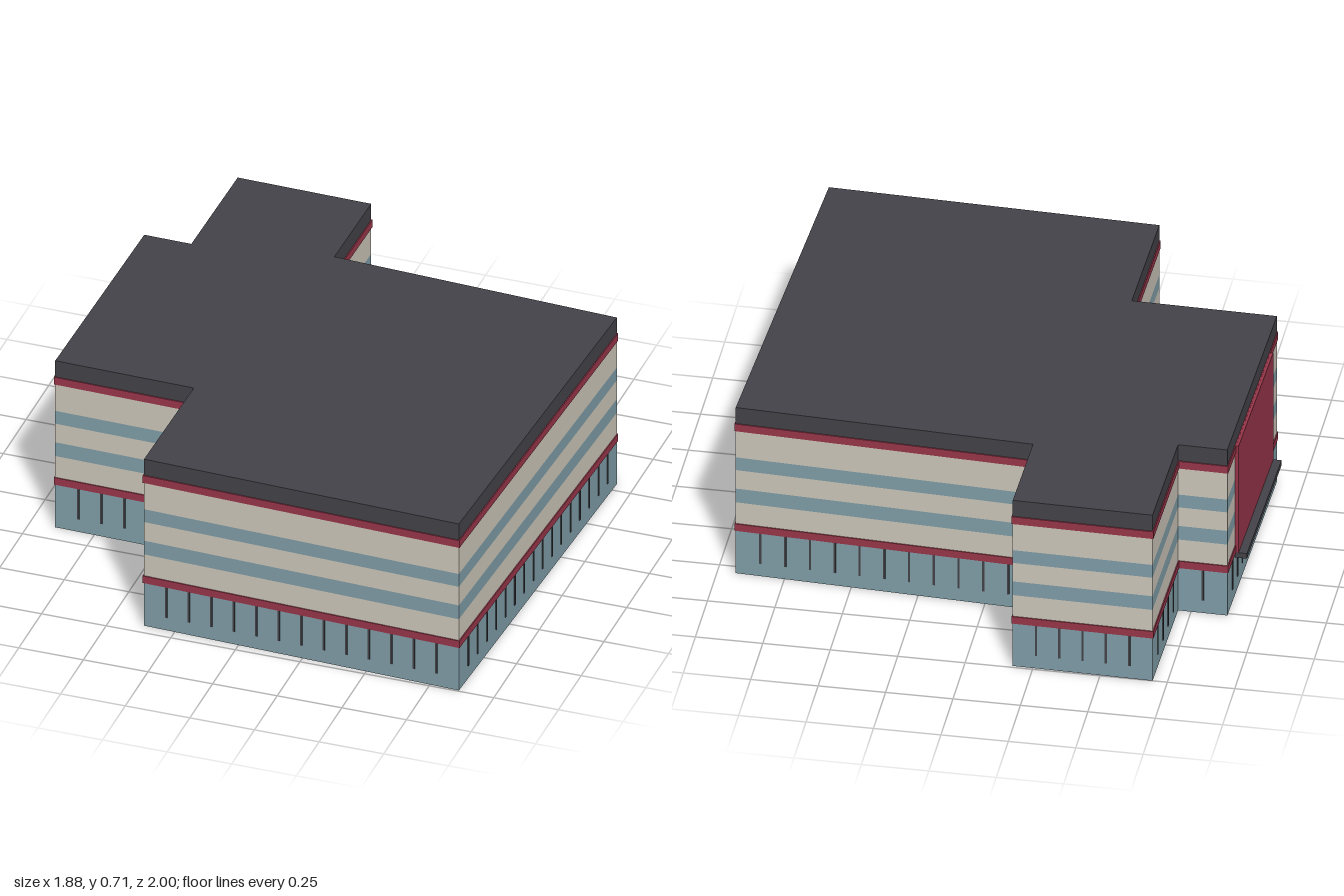
import * as THREE from 'three';

const mat = (name, color) => {
  const m = new THREE.MeshStandardMaterial({ color });
  m.name = name;
  return m;
};

// Footprint corners [x, z], clockwise from above, starting at the rear wing
const FOOTPRINT = [
  [-0.695, -1.0], [-0.175, -0.99], [-0.18, -0.6], [0.932, -0.545], [0.863, 0.995],
  [-0.37, 0.953], [-0.362, 0.428], [-0.902, 0.418], [-0.885, -0.513], [-0.702, -0.51],
].map(([x, z]) => new THREE.Vector2(x, z));

// Each wall with its length, direction and outward normal
const WALLS = FOOTPRINT.map((a, i) => {
  const b = FOOTPRINT[(i + 1) % FOOTPRINT.length];
  const dir = b.clone().sub(a).normalize();
  return { a, dir, length: a.distanceTo(b), normal: new THREE.Vector2(dir.y, -dir.x) };
});

// Horizontal slice of the building, its outline pushed out with mitred corners
function slice(y0, y1, outset) {
  const points = FOOTPRINT.map((p, i) => {
    const n1 = WALLS[(i + WALLS.length - 1) % WALLS.length].normal;
    const n2 = WALLS[i].normal;
    const q = p.clone().addScaledVector(n1.clone().add(n2), outset / (1 + n1.dot(n2)));
    return new THREE.Vector2(q.x, -q.y);
  });
  const geo = new THREE.ExtrudeGeometry(new THREE.Shape(points), { depth: y1 - y0, bevelEnabled: false });
  return geo.rotateX(-Math.PI / 2).translate(0, y0, 0);
}

// Box fixed to a wall, centred a distance along it and standing out by depth
function wallBox(wall, along, width, y0, y1, depth, material, name) {
  const mesh = new THREE.Mesh(new THREE.BoxGeometry(width, y1 - y0, depth), material);
  const p = wall.a.clone().addScaledVector(wall.dir, along).addScaledVector(wall.normal, depth / 2);
  mesh.position.set(p.x, (y0 + y1) / 2, p.y);
  mesh.rotation.y = Math.atan2(-wall.dir.y, wall.dir.x);
  mesh.name = name;
  return mesh;
}

export function createModel() {
  const model = new THREE.Group();
  model.name = 'building';
  const glass = mat('blue glass', 0x7f9ca6);
  const cladding = mat('beige cladding', 0xcbc5b8);
  const trim = mat('red trim', 0x973549);
  const dark = mat('dark grey', 0x434248);

  // Stacked storeys from the ground up
  const layers = [
    ['groundFloorGlazing', 0, 0.185, 0, glass],
    ['lowerTrim', 0.185, 0.215, 0.004, trim],
    ['firstFloorCladding', 0.215, 0.306, 0, cladding],
    ['firstFloorWindows', 0.306, 0.365, 0, glass],
    ['secondFloorCladding', 0.365, 0.445, 0, cladding],
    ['secondFloorWindows', 0.445, 0.5, 0, glass],
    ['upperCladding', 0.5, 0.615, 0, cladding],
    ['upperTrim', 0.615, 0.646, 0.004, trim],
    ['roof', 0.646, 0.715, 0, dark],
  ];
  for (const [name, y0, y1, outset, material] of layers) {
    const mesh = new THREE.Mesh(slice(y0, y1, outset), material);
    mesh.name = name;
    model.add(mesh);
  }

  // Evenly spaced mullions on the ground floor
  const mullions = new THREE.Group();
  mullions.name = 'mullions';
  for (const wall of WALLS) {
    const bays = Math.round(wall.length / 0.09);
    for (let i = 1; i < bays; i++) {
      mullions.add(wallBox(wall, (i * wall.length) / bays, 0.008, 0.055, 0.185, 0.003, dark, 'mullion'));
    }
  }
  model.add(mullions);

  // Side wall panel above a shallow canopy
  const side = WALLS[7];
  model.add(wallBox(side, 0.465, 0.65, 0.185, 0.645, 0.014, trim, 'sidePanel'));
  model.add(wallBox(side, 0.465, 0.65, 0.163, 0.185, 0.045, dark, 'canopy'));
  return model;
}
